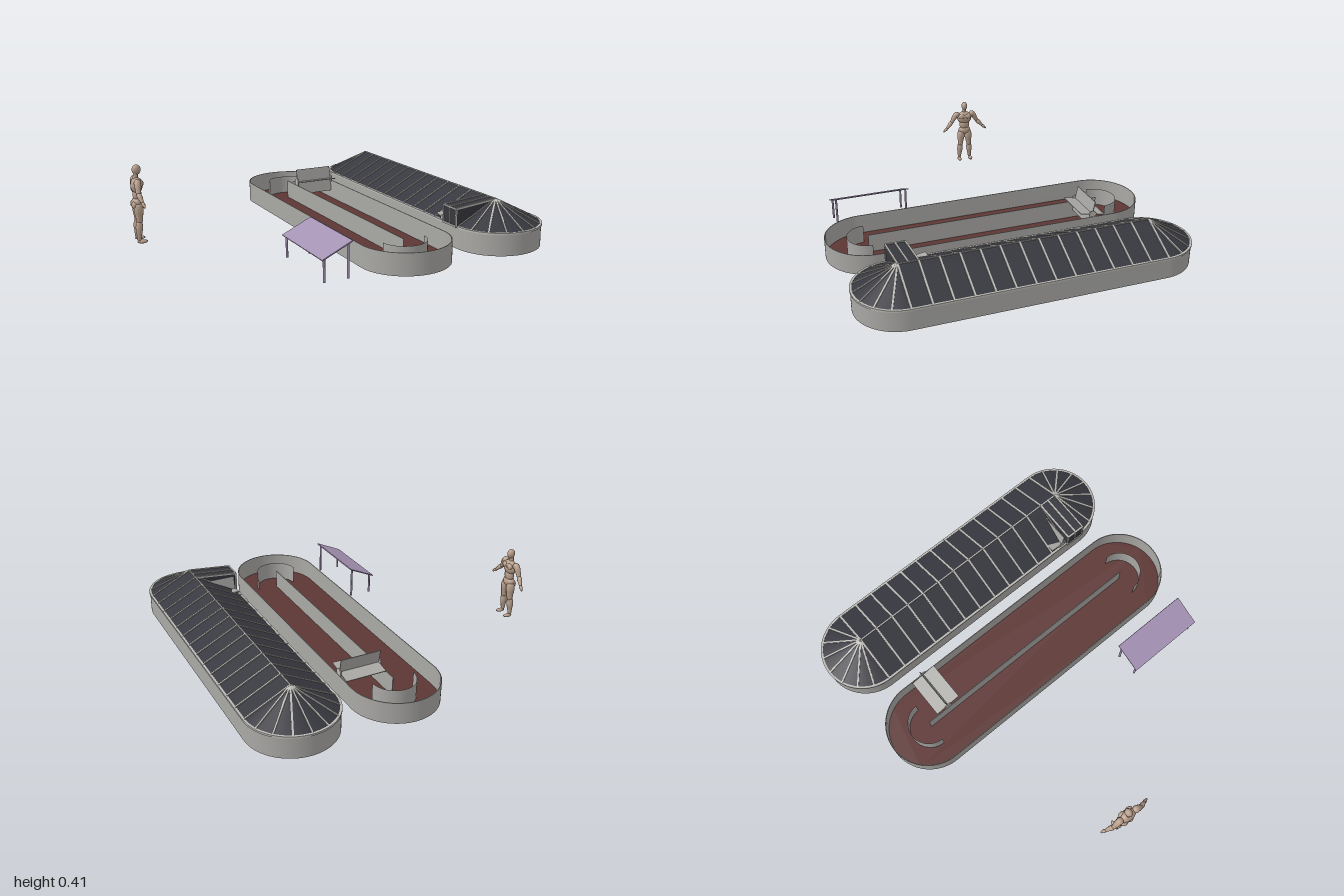
import * as THREE from 'three';
import { toCreasedNormals } from 'three/addons/utils/BufferGeometryUtils.js';

const mat = (name, color, side = THREE.FrontSide) => {
  const m = new THREE.MeshStandardMaterial({ color, side });
  m.name = name;
  return m;
};
const grey = mat('concrete grey', 0xa9a8a5, THREE.DoubleSide);
const frame = mat('frame light grey', 0xbab9b4);
const red = mat('floor dark red', 0x5c3634);
const glass = mat('roof dark grey', 0x37373f, THREE.DoubleSide);
const purple = mat('canopy purple', 0xa592b4);
const skin = mat('figure tan', 0xb89f8c);

const V = (x, y, z) => new THREE.Vector3(x, y, z);
const L = 0.695, R = 0.238, H = 0.115, RIDGE = 0.235, TURN = -0.445;

function add(parent, name, geo, material, x = 0, y = 0, z = 0) {
  const m = new THREE.Mesh(geo, material);
  m.name = name;
  m.position.set(x, y, z);
  parent.add(m);
  return m;
}

// Square bar between two points
function beam(parent, name, a, b, w, material) {
  const m = add(parent, name, new THREE.BoxGeometry(w, w, a.distanceTo(b)), material);
  m.position.copy(a).add(b).multiplyScalar(0.5);
  m.lookAt(b);
}

// Flat panel through three or four corners
function panel(parent, name, pts, material) {
  const g = new THREE.BufferGeometry().setFromPoints(pts);
  g.setIndex(pts.length === 4 ? [0, 1, 2, 0, 2, 3] : [0, 1, 2]);
  g.computeVertexNormals();
  add(parent, name, g, material);
}

// Long shape with half-round ends
function stadium(r, C = THREE.Shape) {
  const s = new C();
  s.moveTo(-L, -r);
  s.lineTo(L, -r);
  s.absarc(L, 0, r, -Math.PI / 2, Math.PI / 2, false);
  s.lineTo(-L, r);
  s.absarc(-L, 0, r, Math.PI / 2, Math.PI * 1.5, false);
  return s;
}

function slab(outer, inner, depth) {
  const s = stadium(outer);
  if (inner) s.holes.push(stadium(inner, THREE.Path));
  const g = new THREE.ExtrudeGeometry(s, { depth, bevelEnabled: false, curveSegments: 28 });
  return toCreasedNormals(g.rotateX(-Math.PI / 2), 0.6);
}

function makePond(name, x, z, turn) {
  const pond = new THREE.Group();
  pond.name = name;
  pond.position.set(x, 0, z);
  pond.rotation.y = turn;
  add(pond, 'floor', slab(R - 0.003, 0, 0.004), red);
  add(pond, 'outerWall', slab(R, R - 0.004, H), grey);
  add(pond, 'divider', new THREE.BoxGeometry(2 * L, 0.105, 0.004), grey, 0, 0.056, 0);
  for (const s of [-1, 1]) {
    const arc = new THREE.CylinderGeometry(0.118, 0.118, 0.105, 28, 1, true, s > 0 ? 0 : Math.PI, Math.PI);
    add(pond, 'endBaffle', arc, grey, s * L, 0.056, 0);
  }
  // Four-bladed paddle wheel across one lane
  const wheel = new THREE.Group();
  wheel.name = 'paddleWheel';
  wheel.position.set(-0.56, 0.127, -0.117);
  wheel.rotation.z = 0.18;
  pond.add(wheel);
  add(wheel, 'blades', new THREE.BoxGeometry(0.152, 0.004, 0.225), grey);
  add(wheel, 'blades', new THREE.BoxGeometry(0.004, 0.152, 0.225), grey);
  for (const s of [-1, 1]) {
    const hub = new THREE.CylinderGeometry(0.022, 0.022, 0.006, 20).rotateX(Math.PI / 2);
    add(wheel, 'hub', hub, frame, 0, 0, s * 0.114);
  }
  return pond;
}

function makeRoof() {
  const roof = new THREE.Group();
  roof.name = 'roof';
  add(roof, 'eaveRim', slab(R + 0.004, R - 0.008, 0.01), frame, 0, H - 0.004, 0);
  for (const s of [-1, 1]) {
    panel(roof, 'roofSlope', [V(-L, H, s * R), V(L, H, s * R), V(L, RIDGE, 0), V(-L, RIDGE, 0)], glass);
    const cone = new THREE.ConeGeometry(R, RIDGE - H, 28, 1, true, s > 0 ? 0 : Math.PI, Math.PI);
    add(roof, 'roofEnd', cone, glass, s * L, (RIDGE + H) / 2, 0);
    // Fan of ribs at each end
    for (let i = 1; i < 8; i++) {
      const a = (i / 8) * Math.PI;
      beam(roof, 'endRib', V(s * L, RIDGE, 0), V(s * (L + R * Math.sin(a)), H, R * Math.cos(a)), 0.009, frame);
    }
    for (let i = 0; i <= 13; i++) {
      const x = -L + (2 * L * i) / 13;
      beam(roof, 'slopeRib', V(x, RIDGE, 0), V(x, H, s * R), 0.01, frame);
    }
  }
  beam(roof, 'ridge', V(-L, RIDGE, 0), V(L, RIDGE, 0), 0.007, frame);

  // Raised dormer over the paddle wheel
  const x0 = L * 11 / 13, x1 = L, xm = L * 12 / 13, zf = 0.248, yf = 0.212;
  panel(roof, 'dormerTop', [V(x0, yf, zf), V(x1, yf, zf), V(x1, RIDGE, 0), V(x0, RIDGE, 0)], glass);
  panel(roof, 'dormerFront', [V(x0, H, zf), V(x1, H, zf), V(x1, yf, zf), V(x0, yf, zf)], glass);
  for (const x of [x0, x1]) {
    panel(roof, 'dormerSide', [V(x, H, zf), V(x, yf, zf), V(x, RIDGE, 0)], glass);
  }
  for (const x of [x0, xm, x1]) {
    beam(roof, 'dormerRib', V(x, RIDGE, 0), V(x, yf, zf), 0.01, frame);
    beam(roof, 'dormerPost', V(x, H, zf), V(x, yf, zf), 0.009, frame);
  }
  for (const y of [H + 0.005, yf]) beam(roof, 'dormerRail', V(x0, y, zf), V(x1, y, zf), 0.009, frame);
  return roof;
}

function makeCanopy() {
  const c = new THREE.Group();
  c.name = 'canopy';
  c.position.set(0.228, 0, 0.7);
  c.rotation.y = TURN;
  const top = add(c, 'canopyTop', new THREE.BoxGeometry(0.447, 0.006, 0.172), purple, 0, 0.148, 0);
  top.rotation.x = Math.atan2(0.07, 0.155);
  for (const x of [-0.207, 0.207]) {
    for (const z of [-0.062, 0.062]) {
      const h = 0.147 - z * 0.45;
      add(c, 'canopyLeg', new THREE.CylinderGeometry(0.006, 0.006, h, 12), purple, x, h / 2, z);
    }
  }
  return c;
}

function makeFigure() {
  const f = new THREE.Group();
  f.name = 'figure';
  f.position.set(-0.785, 0, 0.92);
  f.rotation.y = TURN - 0.08;
  const ball = (name, x, y, z, rx, ry, rz) =>
    add(f, name, new THREE.SphereGeometry(1, 16, 12).scale(rx, ry, rz), skin, x, y, z);
  // Limb that swells towards its upper third
  const limb = (name, a, b, r0, rm, r1) => {
    const len = a.distanceTo(b);
    const prof = [[0, 0], [r0, 0.02], [rm, 0.33], [(rm + r1) / 2, 0.66], [r1, 0.98], [0, 1]];
    const curve = new THREE.SplineCurve(prof.map(([r, t]) => new THREE.Vector2(r, t * len)));
    const pts = curve.getPoints(14).map(p => new THREE.Vector2(Math.max(p.x, 0), p.y));
    const m = add(f, name, new THREE.LatheGeometry(pts, 12), skin);
    m.position.copy(a);
    m.quaternion.setFromUnitVectors(V(0, 1, 0), b.clone().sub(a).normalize());
  };
  ball('head', 0, 0.388, -0.004, 0.019, 0.027, 0.023);
  limb('neck', V(0, 0.335, 0.004), V(0, 0.378, 0), 0.014, 0.013, 0.012);
  ball('chest', 0, 0.306, 0, 0.05, 0.043, 0.03);
  ball('waist', 0, 0.258, 0, 0.034, 0.04, 0.023);
  ball('hips', 0, 0.216, 0.002, 0.041, 0.03, 0.028);
  for (const s of [-1, 1]) {
    ball('shoulder', s * 0.052, 0.328, 0.002, 0.02, 0.02, 0.019);
    ball('pectoral', s * 0.021, 0.318, -0.02, 0.022, 0.017, 0.013);
    ball('buttock', s * 0.018, 0.205, 0.016, 0.021, 0.022, 0.018);
    limb('upperArm', V(s * 0.056, 0.334, 0.002), V(s * 0.088, 0.272, 0.006), 0.014, 0.017, 0.011);
    limb('forearm', V(s * 0.086, 0.278, 0.006), V(s * 0.124, 0.238, -0.006), 0.011, 0.014, 0.007);
    limb('hand', V(s * 0.12, 0.241, -0.005), V(s * 0.148, 0.218, -0.012), 0.006, 0.01, 0.004);
    limb('thigh', V(s * 0.022, 0.212, 0), V(s * 0.03, 0.108, 0), 0.02, 0.025, 0.014);
    limb('shin', V(s * 0.03, 0.118, 0.002), V(s * 0.036, 0.014, 0.008), 0.014, 0.019, 0.009);
    ball('foot', s * 0.038, 0.01, -0.008, 0.013, 0.01, 0.027);
  }
  return f;
}

export function createModel() {
  const model = new THREE.Group();
  model.name = 'racewayPonds';
  model.add(makePond('openPond', -0.12, 0.065, TURN));
  const covered = new THREE.Group();
  covered.name = 'coveredPond';
  covered.position.set(0.108, 0, -0.457);
  covered.rotation.y = TURN;
  covered.add(makePond('roofedPond', 0, 0, Math.PI), makeRoof());
  model.add(covered, makeCanopy(), makeFigure());
  return model;
}
